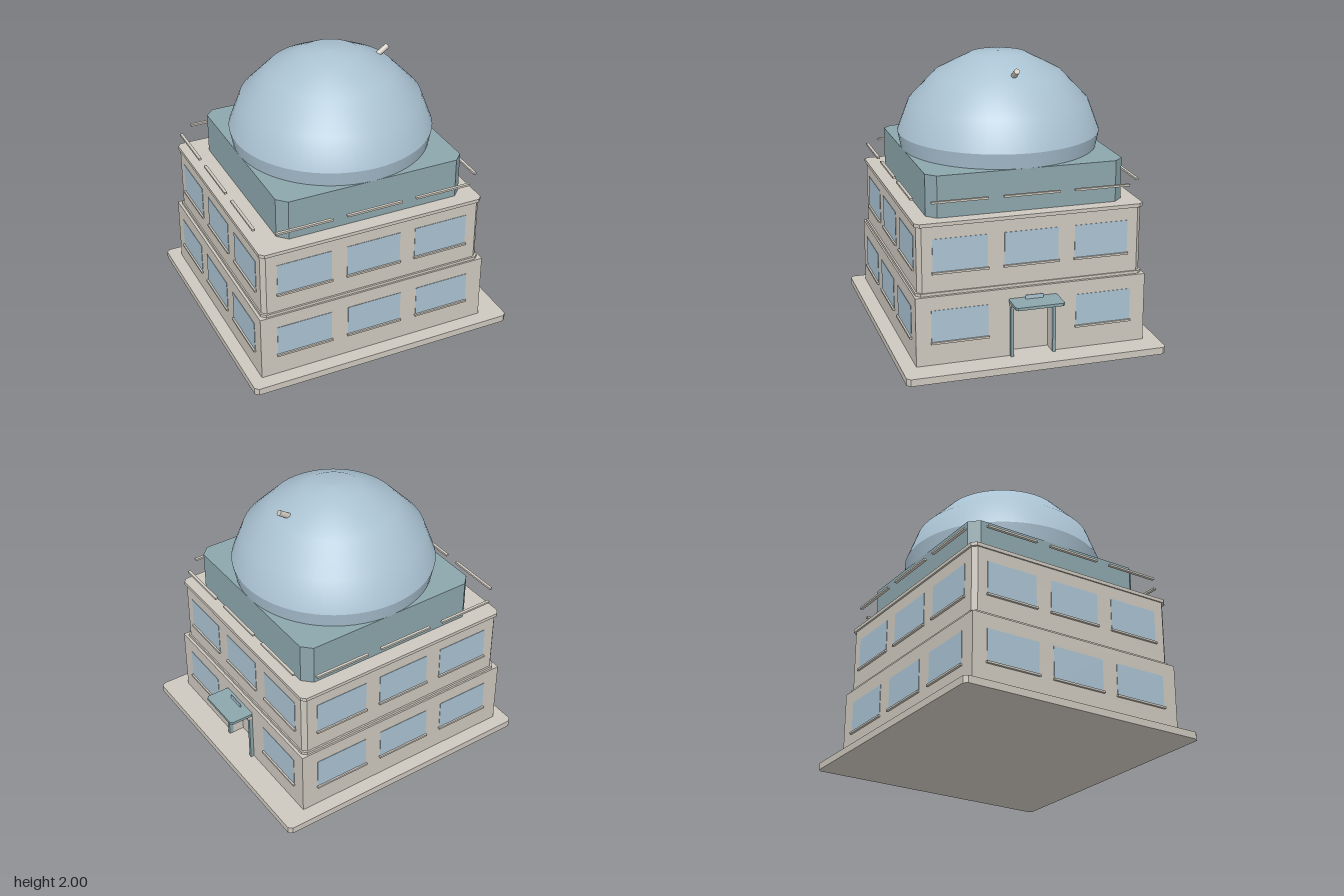
import * as THREE from 'three';

const stone = new THREE.MeshStandardMaterial({ name: 'stone', color: 0xcdc8be });
const teal = new THREE.MeshStandardMaterial({ name: 'teal panel', color: 0x8ca6ac });
const paleBlue = new THREE.MeshStandardMaterial({ name: 'pale blue', color: 0xaac2d2 });

const CX = -0.045; // centre of the building across x

export function createModel() {
  const model = new THREE.Group();
  model.name = 'observatory';

  const add = (name, geometry, material, parent = model) => {
    const mesh = new THREE.Mesh(geometry, material);
    mesh.name = name;
    parent.add(mesh);
    return mesh;
  };
  const box = (name, x0, x1, y0, y1, z0, z1, material, parent) => {
    const mesh = add(name, new THREE.BoxGeometry(x1 - x0, y1 - y0, z1 - z0), material, parent);
    mesh.position.set((x0 + x1) / 2, (y0 + y1) / 2, (z0 + z1) / 2);
    return mesh;
  };
  // Upright prism from a plan outline of [x, z] points
  const prism = (name, plan, y0, y1, material, parent) => {
    const shape = new THREE.Shape(plan.map(([x, z]) => new THREE.Vector2(x, -z)));
    const geometry = new THREE.ExtrudeGeometry(shape, { depth: y1 - y0, bevelEnabled: false });
    geometry.rotateX(-Math.PI / 2).translate(0, y0, 0);
    return add(name, geometry, material, parent);
  };
  // Rectangle with cut corners
  const slab = (name, cx, hx, hz, c, y0, y1, material, parent) => prism(name, [
    [cx - hx, hz - c], [cx - hx + c, hz], [cx + hx - c, hz], [cx + hx, hz - c],
    [cx + hx, c - hz], [cx + hx - c, -hz], [cx - hx + c, -hz], [cx - hx, c - hz],
  ], y0, y1, material, parent);

  // Plinth and ground floor, with a recess for the entrance
  slab('plinth', 0, 0.99, 0.92, 0.025, 0, 0.05, stone);
  const L = CX - 0.855, R = CX + 0.855, D = 0.815;
  prism('groundFloor', [
    [L, D], [R, D], [R, 0.14], [R - 0.09, 0.14], [R - 0.09, -0.14], [R, -0.14], [R, -D], [L, -D],
  ], 0.05, 0.415, stone);
  box('groundFloorTop', L, R, 0.415, 0.54, -D, D, stone);

  // Upper floor between two string courses
  slab('lowerCornice', CX, 0.835, 0.803, 0.03, 0.54, 0.56, stone);
  slab('upperFloor', CX, 0.825, 0.79, 0.03, 0.56, 1.02, stone);
  slab('upperCornice', CX, 0.835, 0.803, 0.03, 1.02, 1.045, stone);

  // Windows and sills on all four sides; the top row is an open rail of bars
  const rows = [
    { y: 0.21, hx: 0.855, hz: 0.815, stepX: 0.53, stepZ: 0.51, wx: 0.405, wz: 0.395, glass: 0.225, door: true },
    { y: 0.695, hx: 0.825, hz: 0.79, stepX: 0.515, stepZ: 0.497, wx: 0.4, wz: 0.38, glass: 0.23 },
    { y: 1.185, hx: 0.825, hz: 0.79, stepX: 0.515, stepZ: 0.497, wx: 0.4, wz: 0.38 },
  ];
  for (const row of rows) {
    for (let side = 0; side < 4; side++) {
      const wall = new THREE.Group();
      wall.name = 'wallDetails';
      wall.position.set(CX, row.y, 0);
      wall.rotation.y = side * Math.PI / 2;
      model.add(wall);
      const along = side % 2 === 0;
      const d = along ? row.hz : row.hx;
      const step = along ? row.stepX : row.stepZ;
      const w = along ? row.wx : row.wz;
      for (let i = -1; i <= 1; i++) {
        if (row.door && side === 1 && i === 0) continue;
        const x = i * step;
        box(row.glass ? 'windowSill' : 'railBar', x - w / 2 - 0.006, x + w / 2 + 0.006,
          -0.007, 0.007, d - 0.005, d + 0.016, stone, wall);
        if (row.glass) {
          box('window', x - w / 2, x + w / 2, 0.007, 0.007 + row.glass, d - 0.003, d + 0.003, paleBlue, wall);
        }
      }
    }
  }

  // Entrance: posts, lintel and canopy
  for (const s of [-1, 1]) {
    box('doorPost', R - 0.005, 0.835, 0.05, 0.415, s * 0.15 - 0.011, s * 0.15 + 0.011, teal);
  }
  box('doorLintel', R - 0.005, 0.85, 0.415, 0.437, -0.163, 0.163, stone);
  box('canopySoffit', R - 0.005, 0.91, 0.437, 0.446, -0.13, 0.13, teal);
  slab('canopy', 0.8975, 0.0925, 0.172, 0.015, 0.446, 0.466, teal);
  box('canopySign', 0.843, 0.849, 0.466, 0.495, -0.063, 0.063, paleBlue);

  // Dome base, then the dome itself with a crease above its rim
  slab('domeBase', 0, 0.693, 0.693, 0.065, 1.045, 1.335, teal);
  const lathe = (name, points) => add(name,
    new THREE.LatheGeometry(points.map(([r, y]) => new THREE.Vector2(r, y)), 64), paleBlue);
  lathe('domeRim', [[0.693, 1.33], [0.715, 1.443]]);
  lathe('dome', [[0.715, 1.443], [0.635, 1.657], [0.445, 1.855], [0.2, 1.982], [0, 2]]);

  // Telescope barrel poking out of the dome
  const scope = add('telescope', new THREE.CylinderGeometry(0.02, 0.02, 0.13, 16), stone);
  scope.position.set(0.385, 1.902, 0);
  scope.rotation.z = -Math.PI * 0.31;

  return model;
}
